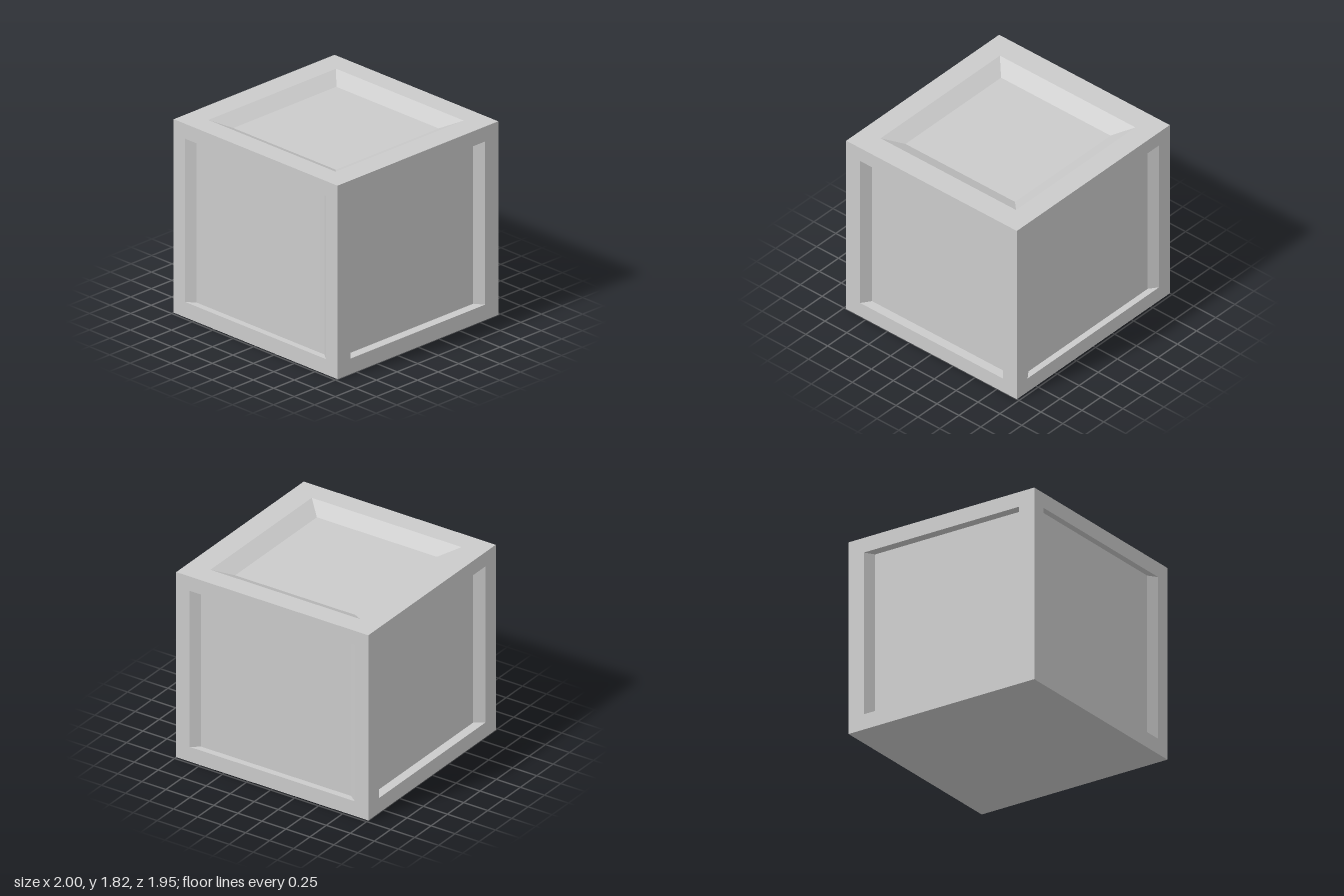
import * as THREE from 'three';

const W = 1, H = 1.82, D = 0.975; // half width, height, half depth

// Corners of a rectangle, counter-clockwise, at depth z
const rect = (hw, y0, y1, z) => [[-hw, y0, z], [hw, y0, z], [hw, y1, z], [-hw, y1, z]];

// A face built as nested rectangles: frame, sloped recess walls, then the panel floor
function recessedFace(loops) {
  const pos = [];
  const quad = (a, b, c, d) => pos.push(...a, ...b, ...c, ...a, ...c, ...d);
  for (let i = 0; i < loops.length - 1; i++) {
    const o = loops[i], n = loops[i + 1];
    for (let k = 0; k < 4; k++) quad(o[k], o[(k + 1) % 4], n[(k + 1) % 4], n[k]);
  }
  quad(...loops[loops.length - 1]);
  const g = new THREE.BufferGeometry();
  g.setAttribute('position', new THREE.Float32BufferAttribute(pos, 3));
  g.computeVertexNormals();
  return g;
}

export function createModel() {
  const group = new THREE.Group();
  group.name = 'crate';
  const material = new THREE.MeshStandardMaterial({ color: 0xcccccc, flatShading: true });
  const add = (name, geometry) => {
    const mesh = new THREE.Mesh(geometry, material);
    mesh.name = name;
    group.add(mesh);
  };

  // Four sides: recess walls splay only at the left and right
  const side = (half, dist, open, floor, depth) => recessedFace([
    rect(half, 0, H, dist),
    rect(open, 0.145, 1.68, dist),
    rect(floor, 0.145, 1.68, dist - depth),
  ]);
  const front = side(W, D, 0.86, 0.78, 0.06);
  const left = side(D, W, 0.815, 0.757, 0.087).rotateY(Math.PI / 2);
  add('frontPanel', front);
  add('backPanel', front.clone().rotateY(Math.PI));
  add('leftPanel', left);
  add('rightPanel', left.clone().rotateY(Math.PI));

  // Lid with a shallow sloped recess on all four edges
  add('topPanel', recessedFace([
    rect(W, -D, D, H),
    rect(0.78, -0.775, 0.775, H),
    rect(0.625, -0.625, 0.625, H - 0.075),
  ]).rotateX(-Math.PI / 2));

  // Plain base
  add('base', new THREE.PlaneGeometry(2 * W, 2 * D).rotateX(Math.PI / 2));
  return group;
}
